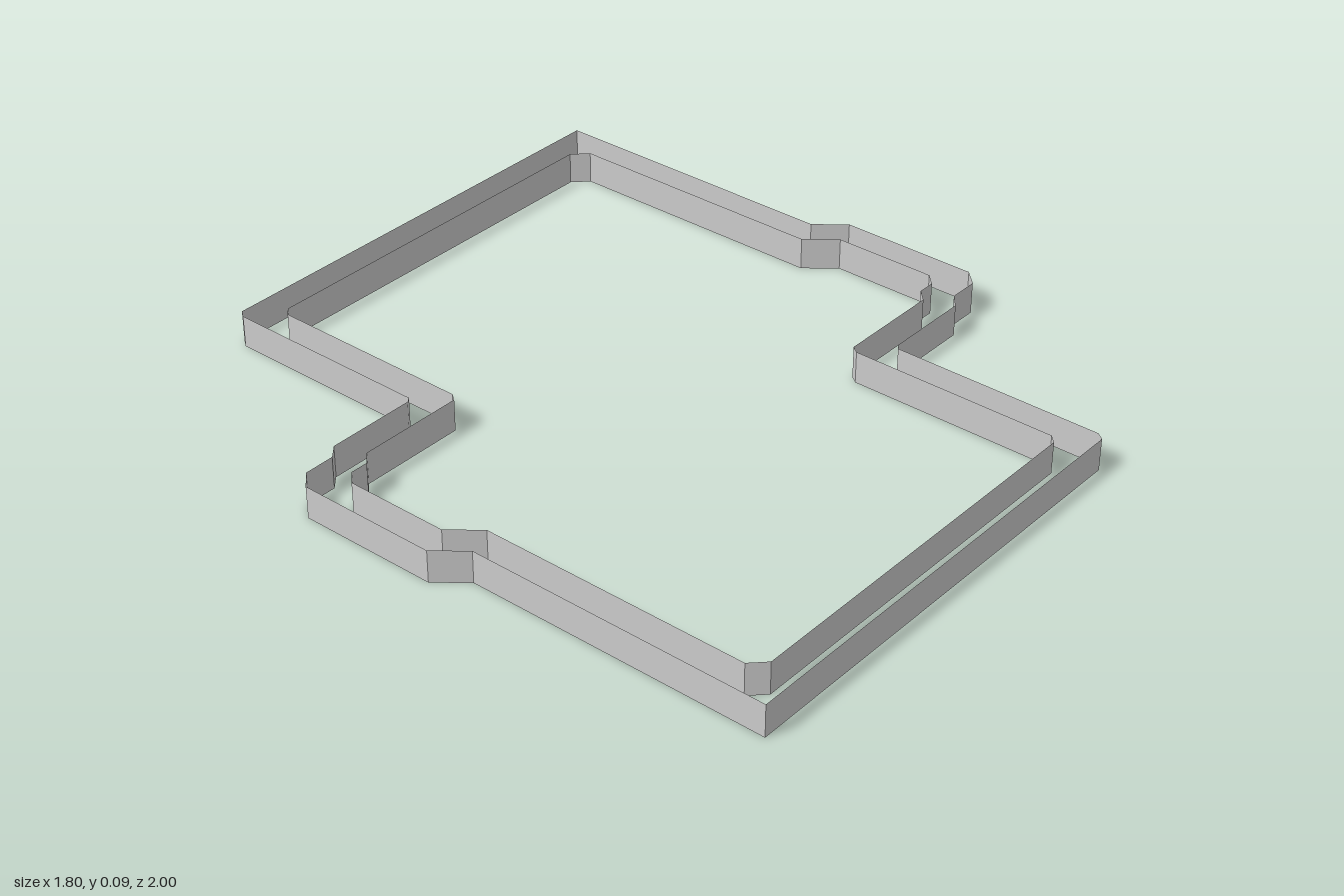
import * as THREE from 'three';

const HEIGHT = 0.09;

// Half outlines [x, z]; the other half is the same turned 180 degrees about y
const outerHalf = [
  [-0.835, 1], [0.46, 1], [0.475, 0.98], [0.475, 0.39], [0.49, 0.38], [0.74, 0.38],
  [0.775, 0.35], [0.86, 0.35], [0.9, 0.31], [0.9, -0.08], [0.835, -0.16],
];
const innerHalf = [
  [-0.755, 0.88], [-0.715, 0.92], [0.375, 0.92], [0.395, 0.9], [0.395, 0.32], [0.41, 0.3],
  [0.71, 0.3], [0.74, 0.27], [0.79, 0.27], [0.82, 0.24], [0.82, -0.05], [0.755, -0.13],
];

// Vertical flat-sided wall along a closed outline, facing out or in
function wall(name, half, inward, material) {
  const outline = [...half, ...half.map(([x, z]) => [-x, -z])];
  if (inward) outline.reverse();
  const positions = [];
  outline.forEach(([x0, z0], i) => {
    const [x1, z1] = outline[(i + 1) % outline.length];
    positions.push(
      x0, 0, z0, x1, 0, z1, x1, HEIGHT, z1,
      x0, 0, z0, x1, HEIGHT, z1, x0, HEIGHT, z0,
    );
  });
  const geometry = new THREE.BufferGeometry();
  geometry.setAttribute('position', new THREE.Float32BufferAttribute(positions, 3));
  geometry.computeVertexNormals();
  const mesh = new THREE.Mesh(geometry, material);
  mesh.name = name;
  return mesh;
}

export function createModel() {
  const group = new THREE.Group();
  group.name = 'hollowWallOutline';
  const material = new THREE.MeshStandardMaterial({
    color: 0xcccccc, flatShading: true, side: THREE.DoubleSide,
  });
  // Two nested walls, open above and below
  group.add(wall('outerWall', outerHalf, false, material));
  group.add(wall('innerWall', innerHalf, true, material));
  return group;
}
